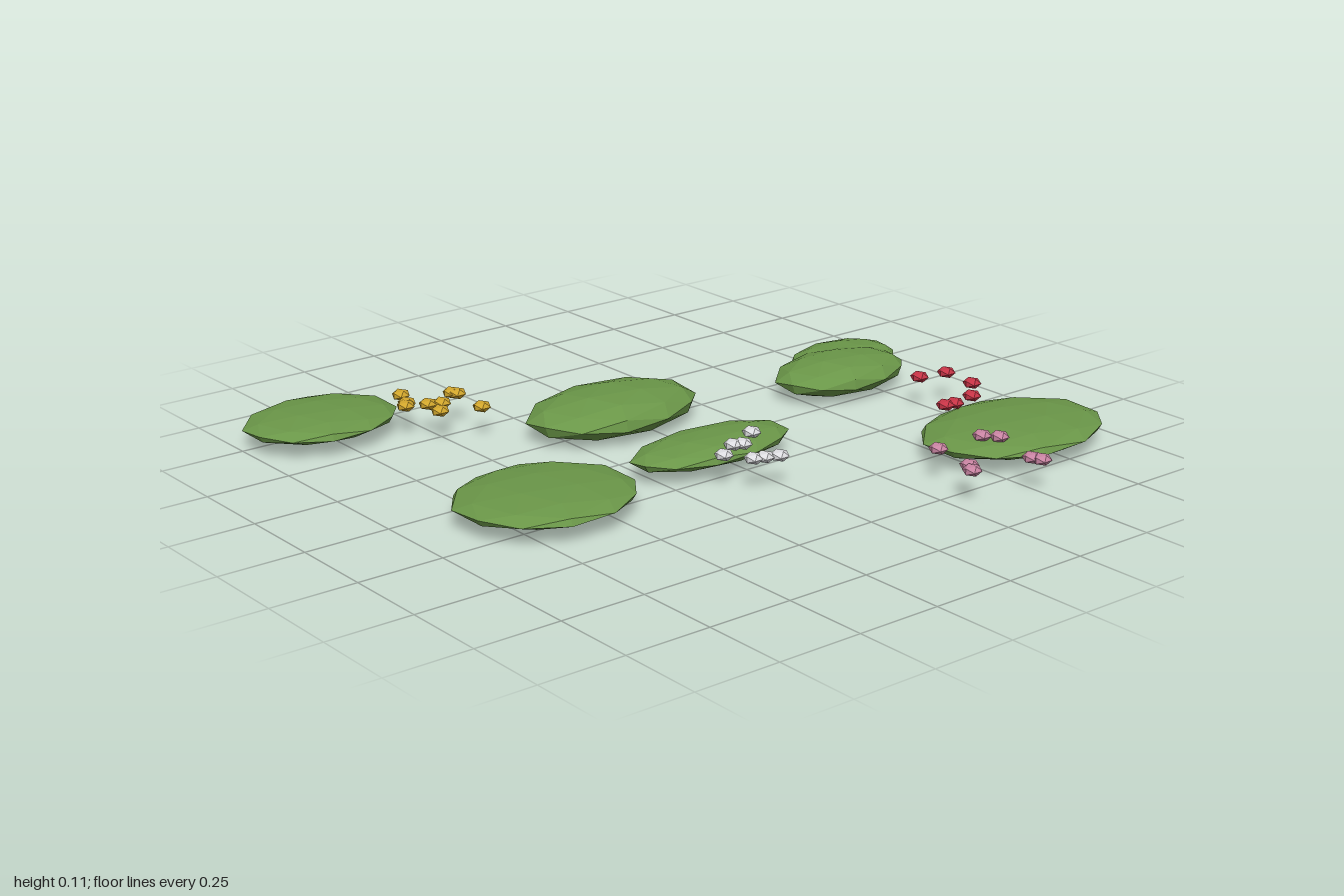
import * as THREE from 'three';

const mat = (name, color) => {
  const m = new THREE.MeshStandardMaterial({ color, flatShading: true });
  m.name = name;
  return m;
};

// Unit faceted blob resting on a flat facet, with a twelve-sided outline
function blobGeometry() {
  const y = new THREE.Vector3(1, 1, 1).normalize();
  const x = new THREE.Vector3(0.5, -0.809, 0.309).normalize();
  const z = new THREE.Vector3().crossVectors(x, y);
  const turn = new THREE.Matrix4().makeBasis(x, y, z).transpose();
  return new THREE.IcosahedronGeometry(1, 1).applyMatrix4(turn);
}

export function createModel() {
  const group = new THREE.Group();
  group.name = 'flowerPatches';

  // Flattened grass mounds: x, y, z, half width, half height, half depth
  const green = mat('leaf green', 0x6a9648);
  const blob = blobGeometry();
  [
    [-0.767, 0.065, -0.714, 0.233, 0.034, 0.182],
    [-0.072, 0.066, -0.263, 0.281, 0.06, 0.178],
    [-0.626, 0.065, 0.171, 0.262, 0.034, 0.227],
    [-0.051, 0.065, 0.155, 0.267, 0.036, 0.125],
    [0.66, 0.066, -0.102, 0.228, 0.054, 0.147],
    [0.753, 0.065, -0.19, 0.185, 0.044, 0.125],
    [0.698, 0.065, 0.575, 0.3, 0.037, 0.214],
  ].forEach(([x, y, z, w, h, d], i) => {
    const mound = new THREE.Mesh(blob, green);
    mound.name = `grassMound${i + 1}`;
    mound.position.set(x, y, z);
    mound.scale.set(w, h, d);
    group.add(mound);
  });

  // Clusters of small squashed blossoms: x, z of each
  const blossom = new THREE.IcosahedronGeometry(0.028, 0).rotateY(Math.PI / 2).scale(1, 0.6, 1);
  const clusters = [
    ['yellow', 0xd0a52c, [[-0.53, -0.66], [-0.556, -0.59], [-0.572, -0.57], [-0.515, -0.543],
      [-0.478, -0.527], [-0.406, -0.585], [-0.397, -0.57], [-0.52, -0.473], [-0.408, -0.43]]],
    ['white', 0xdcdce0, [[0.046, 0.215], [-0.058, 0.26], [-0.033, 0.271], [-0.13, 0.307],
      [-0.085, 0.377], [-0.055, 0.388], [-0.016, 0.404]]],
    ['red', 0xc63446, [[0.738, 0.16], [0.829, 0.179], [0.817, 0.297], [0.736, 0.377],
      [0.62, 0.388], [0.652, 0.393]]],
    ['pink', 0xc884a2, [[0.352, 0.634], [0.518, 0.634], [0.549, 0.671], [0.326, 0.778],
      [0.304, 0.81], [0.497, 0.842], [0.508, 0.869]]],
  ];
  for (const [name, color, spots] of clusters) {
    const cluster = new THREE.Group();
    cluster.name = `${name}Blossoms`;
    const material = mat(`${name} petal`, color);
    for (const [x, z] of spots) {
      const flower = new THREE.Mesh(blossom, material);
      flower.name = `${name}Blossom`;
      flower.position.set(x, 0.1, z);
      cluster.add(flower);
    }
    group.add(cluster);
  }
  return group;
}
